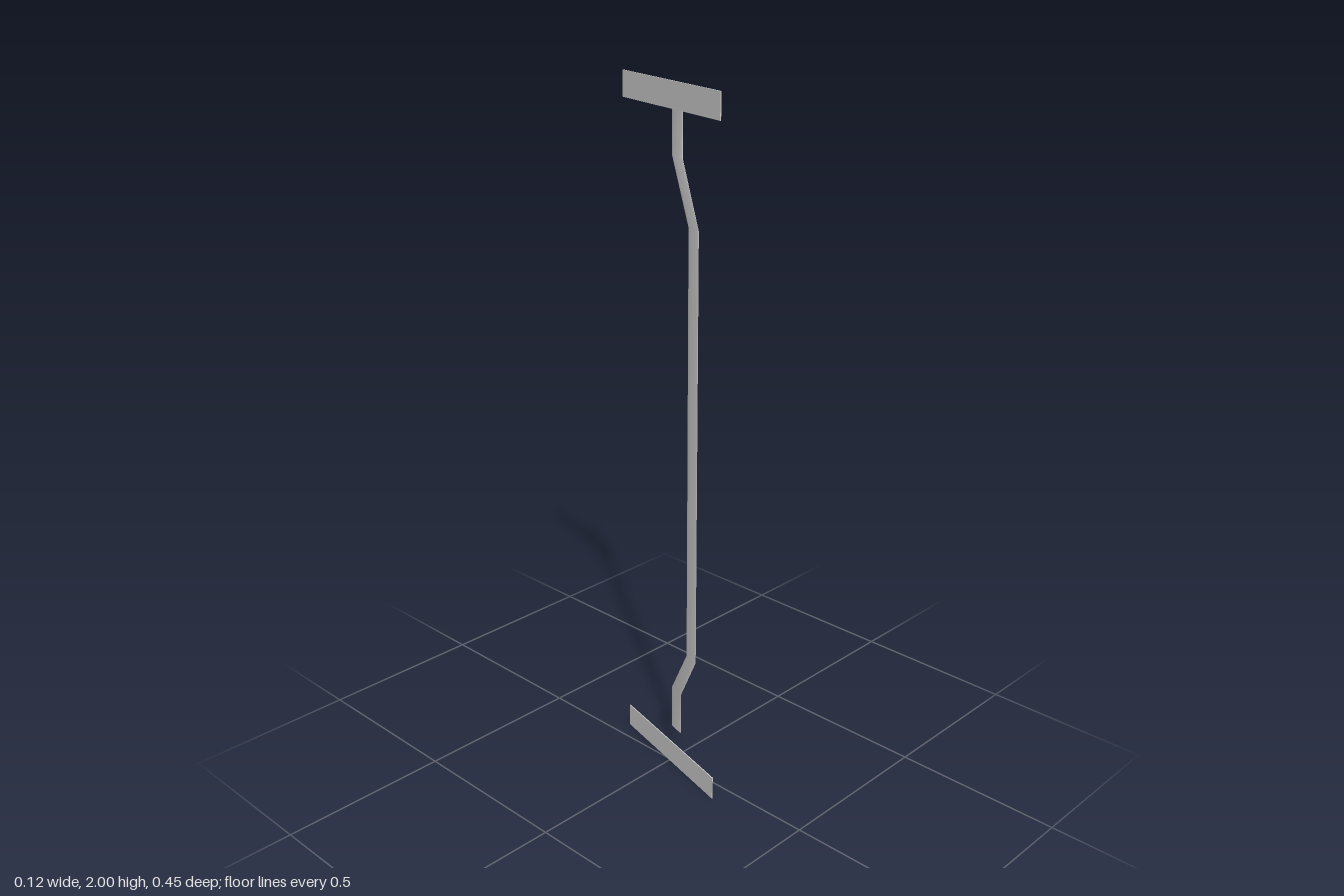
import * as THREE from 'three';

export function createModel() {
  const group = new THREE.Group();
  const material = new THREE.MeshStandardMaterial({ color: 0xcccccc, side: THREE.DoubleSide });

  // Local x runs along the plates, local z is the side the handle stands off to
  const assembly = new THREE.Group();
  assembly.name = 'pullHandle';
  assembly.rotation.y = 1.327;
  assembly.position.x = -0.004;
  group.add(assembly);

  // Thin mounting plates at both ends
  for (const [name, y] of [['bottomPlate', 0.035], ['topPlate', 1.965]]) {
    const plate = new THREE.Mesh(new THREE.BoxGeometry(0.463, 0.07, 0.003), material);
    plate.name = name;
    plate.position.y = y;
    assembly.add(plate);
  }

  // Cranked flat bar: an elliptical section following rings from top to bottom
  // each ring: height, offset along plate, stand-off, half width
  const upper = [
    [1.93, 0.0394, 0.0484, 0.026],
    [1.797, 0.0394, 0.0484, 0.026],
    [1.63, -0.07, 0.0293, 0.0245],
  ];
  const rings = [...upper, ...upper.map(([y, ...r]) => [2 - y, ...r]).reverse()];
  const spans = rings.length - 1;
  const geometry = new THREE.CylinderGeometry(1, 1, 1, 20, spans);
  const p = geometry.attributes.position;
  for (let i = 0; i < p.count; i++) {
    const [y, along, out, half] = rings[Math.round((0.5 - p.getY(i)) * spans)];
    p.setXYZ(i, along + p.getX(i) * half, y, out + p.getZ(i) * 0.0018);
  }
  geometry.computeVertexNormals();
  const bar = new THREE.Mesh(geometry, material);
  bar.name = 'crankedBar';
  assembly.add(bar);

  return group;
}
